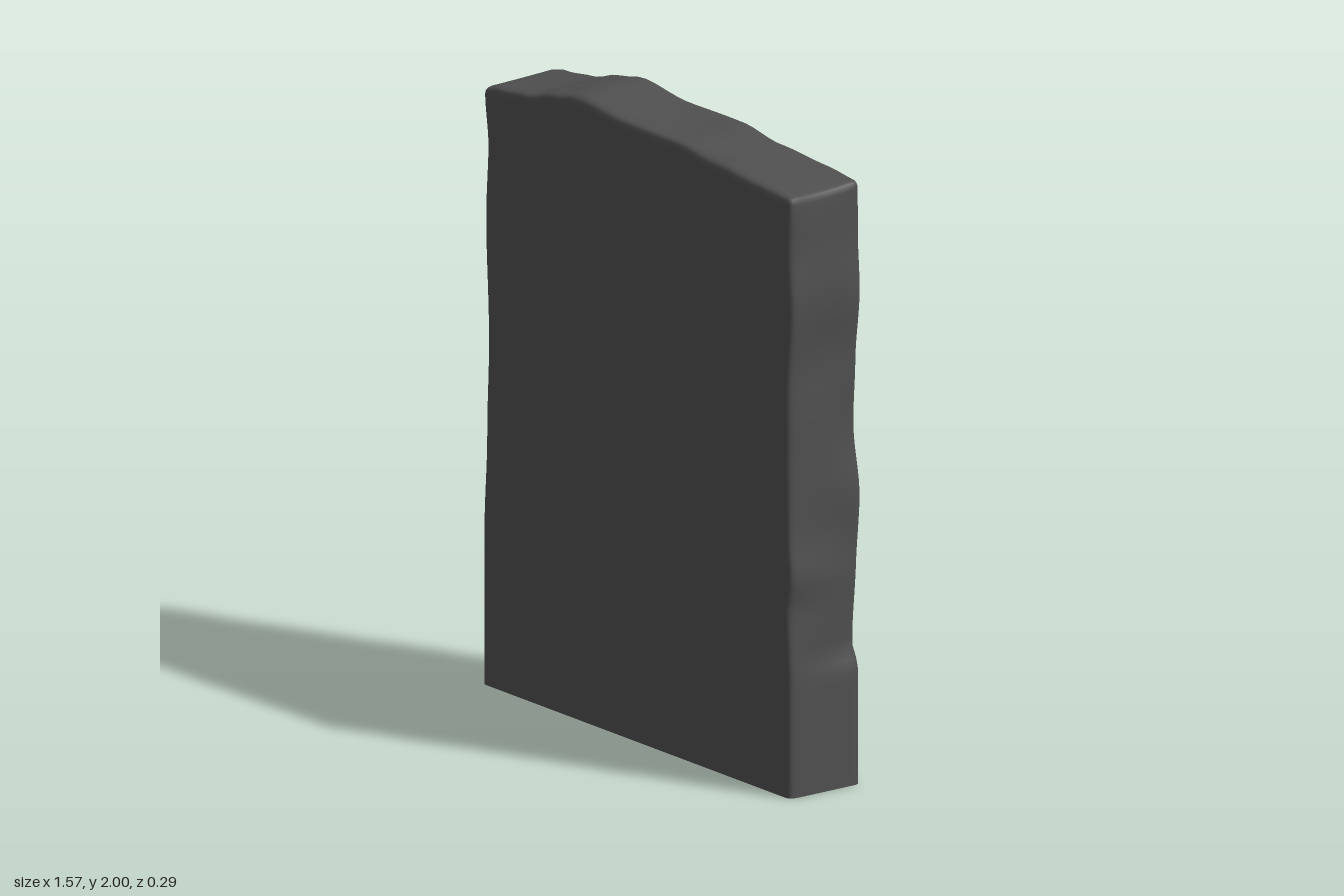
import * as THREE from 'three';
import { mergeVertices } from 'three/addons/utils/BufferGeometryUtils.js';

const HX = 0.775, HZ = 0.1375, H = 1.96, BEVEL = 0.025;
const NX = 40, NY = 60, NZ = 12;

// Half width of each upright corner, as [height, distance from the centre]
const frontRight = [[0, .775], [.4, .775], [.6, .762], [.7, .78], [.85, .77], [1.1, .765], [1.3, .765], [1.55, .785], [1.75, .77], [1.96, .778]];
const backRight = [[0, .775], [.38, .775], [.43, .75], [.7, .765], [.92, .777], [1.13, .752], [1.35, .768], [1.55, .78], [1.75, .768], [1.96, .775]];
const frontLeft = [[0, .775], [.5, .775], [.8, .76], [1.1, .752], [1.5, .765], [1.75, .755], [1.96, .772]];
const backLeft = [[0, .775], [.38, .775], [.45, .785], [.65, .79], [.8, .765], [1, .75], [1.25, .755], [1.5, .776], [1.75, .755], [1.96, .768]];

// Broken upper edge, as [x, height]
const crest = [[-.775, 1.92], [-.7, 1.935], [-.55, 1.95], [-.42, 1.98], [-.3, 2], [-.05, 1.982], [.2, 1.98], [.4, 1.957], [.6, 1.942], [.775, 1.932]];

function sample(table, t) {
  if (t <= table[0][0]) return table[0][1];
  for (let i = 1; i < table.length; i++) {
    const [a, va] = table[i - 1], [b, vb] = table[i];
    if (t <= b) return THREE.MathUtils.lerp(va, vb, THREE.MathUtils.smoothstep(t, a, b));
  }
  return table[table.length - 1][1];
}

// Grid spacing from -half to half, with two fine steps inside each bevel
function spread(i, n, half) {
  if (i > n / 2) return -spread(n - i, n, half);
  const edge = [0, .45 * BEVEL, BEVEL];
  if (i < 2) return -half + edge[i];
  return (half - BEVEL) * (-1 + 2 * (i - 2) / (n - 4));
}

function spreadHeight(i) {
  if (i === NY) return H;
  if (i === NY - 1) return H - .45 * BEVEL;
  return (H - BEVEL) * i / (NY - 2);
}

function slabGeometry() {
  const box = new THREE.BoxGeometry(1, 1, 1, NX, NY, NZ);
  // Hollow underside: leave out the bottom faces
  const base = box.groups[3];
  const index = Array.from(box.index.array);
  index.splice(base.start, base.count);
  box.setIndex(index);
  box.clearGroups();
  box.deleteAttribute('normal');
  box.deleteAttribute('uv');

  const pos = box.attributes.position;
  const p = new THREE.Vector3(), inner = new THREE.Vector3();
  for (let i = 0; i < pos.count; i++) {
    p.set(
      spread(Math.round((pos.getX(i) + .5) * NX), NX, HX),
      spreadHeight(Math.round((pos.getY(i) + .5) * NY)),
      spread(Math.round((pos.getZ(i) + .5) * NZ), NZ, HZ));

    // Round the sides and the top
    inner.set(
      THREE.MathUtils.clamp(p.x, -HX + BEVEL, HX - BEVEL),
      Math.min(p.y, H - BEVEL),
      THREE.MathUtils.clamp(p.z, -HZ + BEVEL, HZ - BEVEL));
    p.sub(inner).setLength(BEVEL).add(inner);

    const { x, y, z } = p;
    const depth = (z + HZ) / (2 * HZ);
    const middle = 4 * depth * (1 - depth);
    const rough = THREE.MathUtils.smoothstep(y, .35, .5);
    const top = THREE.MathUtils.smoothstep(y, 1.6, 1.93);

    // Chipped side walls
    const [front, back] = x > 0 ? [frontRight, backRight] : [frontLeft, backLeft];
    const width = THREE.MathUtils.lerp(sample(back, y), sample(front, y), depth);
    const hollow = .008 * rough * middle * Math.sin(y * 11 + x * 2);
    p.x = x * (width + hollow) / HX;

    // Uneven top
    const dip = .008 * middle * Math.sin(x * 9 + 1) + .012 * depth;
    p.y = y + top * (sample(crest, x) - H - dip);

    // Ragged rear rim
    if (z < 0) {
      const rim = Math.max(top, THREE.MathUtils.smoothstep(Math.abs(x), .68, .76) * rough);
      const wave = .005 * Math.sin(x * 13 + y * 8) - .009 * Math.exp(-(((x + .45) / .1) ** 2));
      p.z = z + rim * wave * (1 - depth);
    }
    pos.setXYZ(i, p.x, p.y, p.z);
  }
  const geometry = mergeVertices(box, 1e-5);
  geometry.computeVertexNormals();
  return geometry;
}

export function createModel() {
  const stone = new THREE.MeshStandardMaterial({ color: 0x505050, side: THREE.DoubleSide });
  stone.name = 'dark stone';
  const slab = new THREE.Mesh(slabGeometry(), stone);
  slab.name = 'stoneSlab';
  const group = new THREE.Group();
  group.name = 'roughStoneTablet';
  group.add(slab);
  return group;
}
